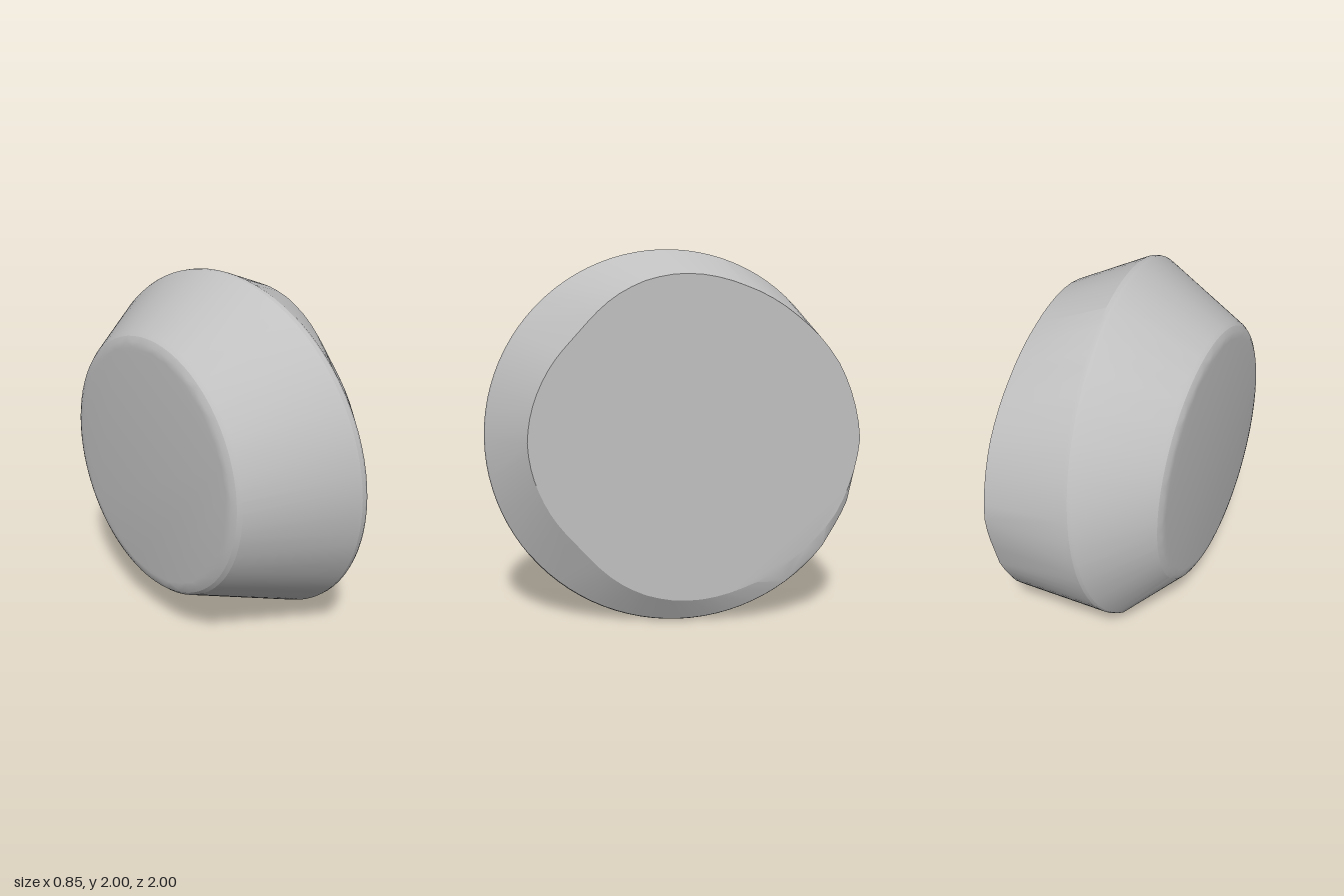
import * as THREE from 'three';
import { ConvexGeometry } from 'three/addons/geometries/ConvexGeometry.js';
import { toCreasedNormals } from 'three/addons/utils/BufferGeometryUtils.js';

const grey = new THREE.MeshStandardMaterial({ color: 0xc0c0c0 });
grey.name = 'plain grey';

// point around the x axis: 0 degrees is the front, 90 the top, 180 the back
function around(x, radius, degrees) {
  const a = THREE.MathUtils.degToRad(degrees);
  return new THREE.Vector3(x, 1 + radius * Math.sin(a), radius * Math.cos(a));
}

// radius of the large flat face, as [degrees from the front, radius]
const faceProfile = [
  [0, 0.76], [24, 0.75], [48, 0.745], [58, 0.775], [68, 0.81], [80, 0.845],
  [90, 0.865], [98, 0.876], [115, 0.89], [135, 0.92], [155, 0.965], [180, 0.998],
];
function faceRadius(degrees) {
  const d = Math.abs(degrees);
  const i = Math.max(1, faceProfile.findIndex(p => p[0] >= d));
  const [d0, r0] = faceProfile[i - 1], [d1, r1] = faceProfile[i];
  return r0 + (r1 - r0) * (d - d0) / (d1 - d0);
}

export function createModel() {
  const group = new THREE.Group();
  group.name = 'bevelledDisc';
  const points = [];

  // small round face with a rolled edge, and the large off-centre face
  const rolledEdge = [[-0.425, 0.66], [-0.42, 0.69], [-0.406, 0.718], [-0.385, 0.737]];
  for (let d = -180; d < 180; d += 5) {
    for (const [x, r] of rolledEdge) points.push(around(x, r, d));
    points.push(around(0.425, faceRadius(d), d));
  }

  // softened ridge that winds once around the rim and overlaps at the back
  for (let d = -180; d <= 232; d += 4) {
    const x = 0.197 - 0.25 * d / 180;
    for (const [dx, r] of [[-0.03, 0.99], [-0.012, 0.998], [0.012, 0.998], [0.03, 0.99]]) {
      if (x + dx < 0.41) points.push(around(x + dx, r + 0.002, d));
    }
  }

  const body = new THREE.Mesh(toCreasedNormals(new ConvexGeometry(points), 0.3), grey);
  body.name = 'body';
  group.add(body);
  return group;
}
